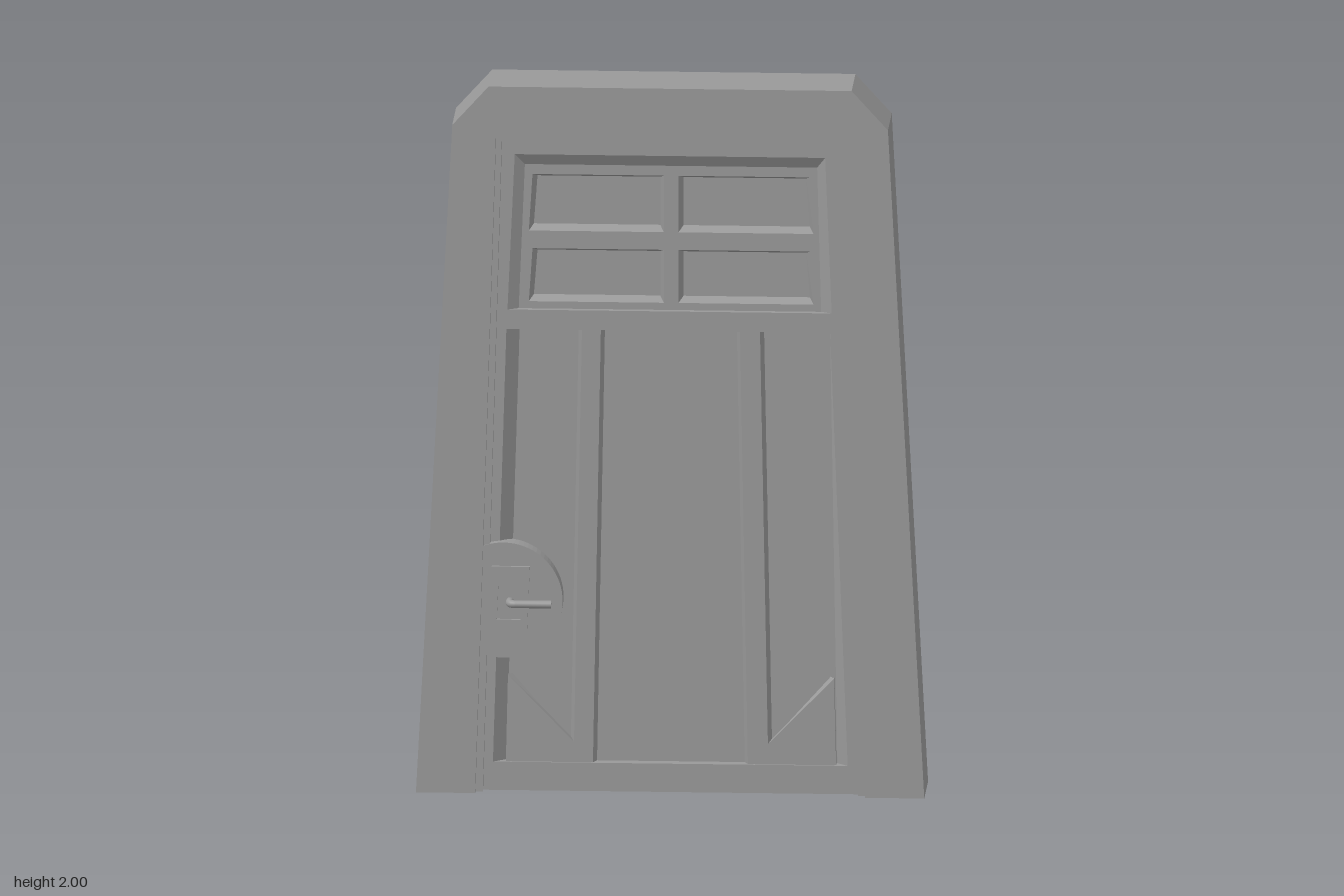
import * as THREE from 'three';

const MID = -0.015; // centre plane of surround and leaf
const COLOR = 0x999999;
const mat = new THREE.MeshStandardMaterial({ color: COLOR, flatShading: true, side: THREE.DoubleSide });
const smooth = new THREE.MeshStandardMaterial({ color: COLOR });

const toPts = (p) => p.map(([x, y]) => new THREE.Vector2(x, y));
const mirror = (p) => p.map(([x, y]) => [-x, y]).reverse();

function add(group, name, geometry, material = mat) {
  const mesh = new THREE.Mesh(geometry, material);
  mesh.name = name;
  group.add(mesh);
  return mesh;
}

// Flat board between two depths, with optional openings
function board(shape, holes, z0, z1) {
  for (const h of holes) shape.holes.push(new THREE.Path(toPts(h)));
  return new THREE.ExtrudeGeometry(shape, { depth: z1 - z0, bevelEnabled: false, curveSegments: 24 })
    .translate(0, 0, z0);
}

// Board centred on the middle plane
const layer = (pts, holes, half) => board(new THREE.Shape(toPts(pts)), holes, MID - half, MID + half);

// Sloping reveal from an opening (counter-clockwise) down to a smaller one, on both faces
function reveal(outer, inner, h0, h1) {
  const pos = [];
  outer.forEach((a, i) => {
    const j = (i + 1) % outer.length;
    for (const s of [1, -1]) {
      const q = [[...a, MID + s * h0], [...outer[j], MID + s * h0],
        [...inner[j], MID + s * h1], [...inner[i], MID + s * h1]];
      if (s < 0) q.reverse();
      for (const k of [0, 1, 2, 0, 2, 3]) pos.push(...q[k]);
    }
  });
  const g = new THREE.BufferGeometry();
  g.setAttribute('position', new THREE.Float32BufferAttribute(pos, 3));
  g.computeVertexNormals();
  return g;
}

// Pull the corners of an opening towards its middle
function inset(pts, dx, dy) {
  const cx = pts.reduce((s, p) => s + p[0], 0) / pts.length;
  const cy = pts.reduce((s, p) => s + p[1], 0) / pts.length;
  return pts.map(([x, y]) => [x - dx * Math.sign(x - cx), y - dy * Math.sign(y - cy)]);
}

export function createModel() {
  const model = new THREE.Group();
  model.name = 'door';

  // Half thicknesses of the layers, from the outside in
  const SURROUND = 0.1, REBATE = 0.08, STILE = 0.06, POST = 0.054, BAR = 0.042, PANEL = 0.03, PANE = 0.006;

  // Surround and its stepped rebate
  const openA = [[-0.537, 0], [-0.48, 1.86], [0.48, 1.86], [0.537, 0]];
  const openB = [[-0.517, 0], [-0.465, 1.84], [0.465, 1.84], [0.517, 0]];
  const outside = [[0.7, 0], [0.6, 1.89], [0.5, 2], [-0.5, 2], [-0.6, 1.89], [-0.7, 0]];
  add(model, 'surround', layer([...outside, ...openA], [], SURROUND));
  add(model, 'rebate', layer([...openA, ...[...openB].reverse()], [], REBATE));

  // Leaf: stiles and rails around a window and a panel opening
  const windowOpen = [[-0.45, 1.36], [0.443, 1.36], [0.425, 1.8], [-0.43, 1.8]];
  const windowIn = [[-0.42, 1.36], [0.413, 1.36], [0.402, 1.768], [-0.403, 1.768]];
  const panelOpen = [[-0.49, 0.08], [0.487, 0.08], [0.445, 1.305], [-0.453, 1.305]];
  const panelIn = [[-0.455, 0.08], [0.457, 0.08], [0.437, 1.305], [-0.418, 1.305]];
  add(model, 'stilesAndRails', layer(openB, [windowOpen, panelOpen], STILE));
  add(model, 'windowReveal', reveal(windowOpen, windowIn, STILE, BAR));
  add(model, 'panelReveal', reveal(panelOpen, panelIn, STILE, PANEL));

  // Window: glazing bars around four panes
  const glazing = [[-0.458, 1.34], [0.458, 1.34], [0.455, 1.82], [-0.455, 1.82]];
  const panes = [];
  for (const [y0, y1] of [[1.38, 1.53], [1.58, 1.74]]) {
    const pane = [[0.02, y0], [0.392, y0], [0.382, y1], [0.02, y1]];
    panes.push(pane, mirror(pane));
  }
  add(model, 'glazingBars', layer(glazing, panes, BAR));
  for (const p of panes) add(model, 'paneEdge', reveal(p, inset(p, 0.012, 0.012), BAR, PANE));
  add(model, 'panes', layer(glazing, [], PANE));

  // Two posts with corner gussets, standing proud of three panels
  const backing = [[-0.503, 0.05], [0.503, 0.05], [0.465, 1.33], [-0.465, 1.33]];
  const strip = [[-0.495, 0.07], [-0.455, 0.07], [-0.449, 0.325], [-0.267, 0.137], [-0.245, 1.315], [-0.46, 1.315]];
  const centre = [[-0.215, 0.07], [0.212, 0.07], [0.19, 1.315], [-0.193, 1.315]];
  const panels = [strip, mirror(strip), centre];
  add(model, 'postsAndGussets', layer(backing, panels, POST));
  for (const p of panels) add(model, 'postEdge', reveal(p, inset(p, 0.01, 0), POST, PANEL));
  add(model, 'panels', layer(backing, [], PANEL));

  // Lock: cut-off disc, framed plate and lever on the front only
  const lock = new THREE.Group();
  lock.name = 'lock';
  model.add(lock);
  const disc = new THREE.Shape().absarc(-0.46, 0.543, 0.163, -1.96, 1.96, false);
  add(lock, 'lockDisc', board(disc, [], 0, 0.068));
  const plate = new THREE.Shape(toPts([[-0.5, 0.447], [-0.395, 0.447], [-0.387, 0.64], [-0.492, 0.64]]));
  const slot = [[-0.478, 0.49], [-0.413, 0.49], [-0.408, 0.6], [-0.473, 0.6]];
  add(lock, 'lockPlate', board(plate, [slot], 0.06, 0.078));
  const path = new THREE.CurvePath();
  const v = (x, z) => new THREE.Vector3(x, 0.54, z);
  path.add(new THREE.LineCurve3(v(-0.442, 0.055), v(-0.442, 0.085)));
  path.add(new THREE.QuadraticBezierCurve3(v(-0.442, 0.085), v(-0.442, 0.102), v(-0.425, 0.102)));
  path.add(new THREE.LineCurve3(v(-0.425, 0.102), v(-0.327, 0.102)));
  add(lock, 'lever', new THREE.TubeGeometry(path, 32, 0.011, 12), smooth);
  const cap = add(lock, 'leverEnd', new THREE.CircleGeometry(0.011, 12));
  cap.rotation.y = Math.PI / 2;
  cap.position.set(-0.327, 0.54, 0.102);

  return model;
}
